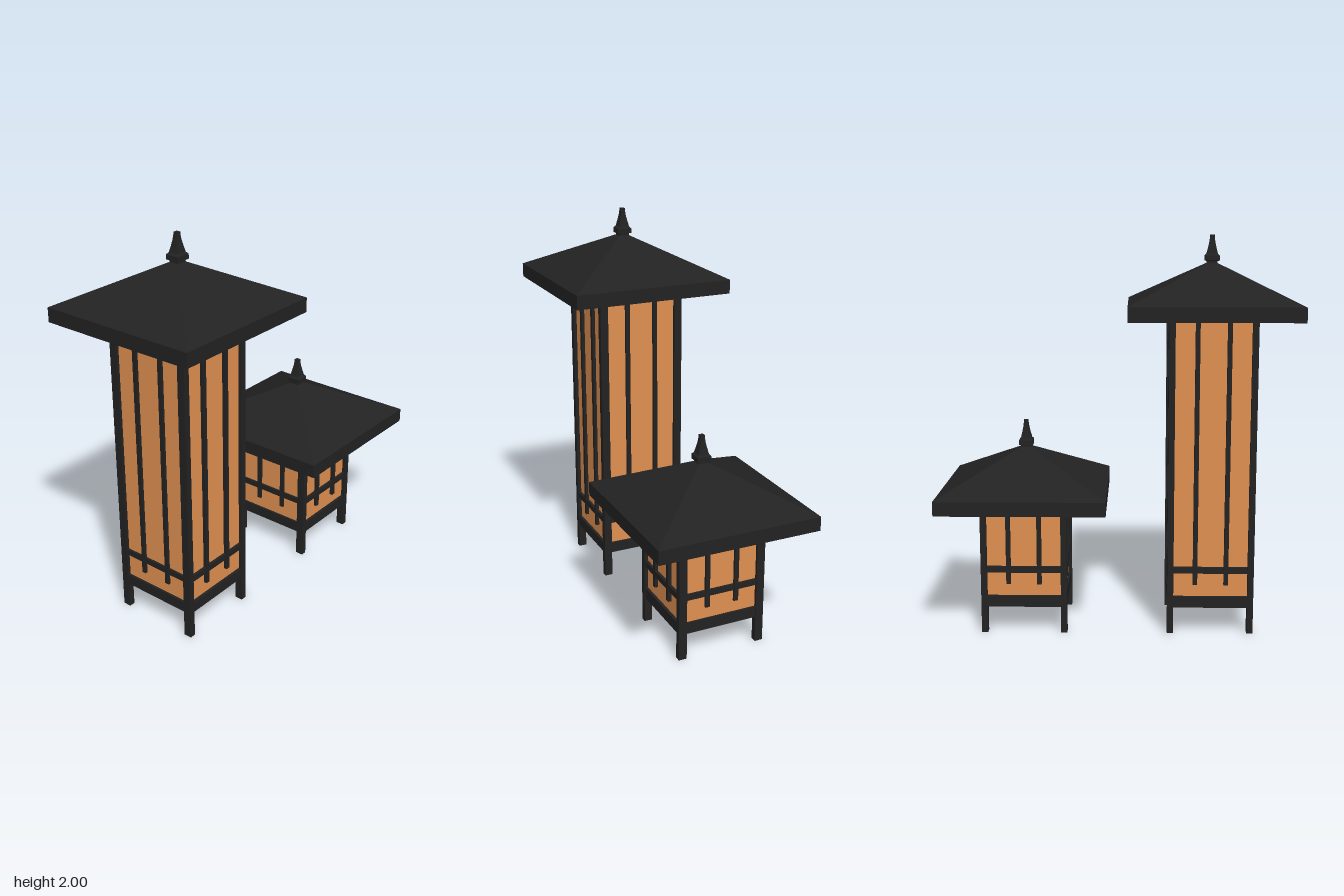
import * as THREE from 'three';

const metal = new THREE.MeshStandardMaterial({ color: 0x222222, flatShading: true });
const glass = new THREE.MeshStandardMaterial({ color: 0xe09050, side: THREE.DoubleSide });

const HX = 0.218, HZ = 0.231; // half width and half depth of the body
const PX = 0.031, PZ = 0.042; // post section

function box(parent, name, size, pos, material = metal) {
  const mesh = new THREE.Mesh(new THREE.BoxGeometry(...size), material);
  mesh.position.set(...pos);
  mesh.name = name;
  parent.add(mesh);
}

// Four-sided solid from a profile of [half width, height]
function pyramid(parent, name, profile, y) {
  const points = profile.map(([r, h]) => new THREE.Vector2(r * Math.SQRT2, h));
  const mesh = new THREE.Mesh(new THREE.LatheGeometry(points, 4, Math.PI / 4), metal);
  mesh.position.y = y;
  mesh.name = name;
  parent.add(mesh);
}

function createLantern(name, eaveY) {
  const lantern = new THREE.Group();
  lantern.name = name;

  const body = new THREE.Group();
  body.name = 'body';
  body.position.z = -0.012;
  lantern.add(body);

  // Corner posts running down into the feet
  for (const sx of [-1, 1]) for (const sz of [-1, 1]) {
    box(body, 'cornerPost', [PX, eaveY, PZ], [sx * (HX - PX / 2), eaveY / 2, sz * (HZ - PZ / 2)]);
  }

  const paneBottom = 0.15, paneH = eaveY - paneBottom, paneY = paneBottom + paneH / 2;
  const mullionBottom = 0.255, mullionH = eaveY - mullionBottom, mullionY = mullionBottom + mullionH / 2;
  const innerX = 2 * (HX - PX) + 0.02, innerZ = 2 * (HZ - PZ) + 0.02;
  for (const s of [-1, 1]) {
    // Glass panes
    box(body, 'glassPane', [innerX, paneH, 0.006], [0, paneY, s * (HZ - 0.022)], glass);
    box(body, 'glassPane', [0.006, paneH, innerZ], [s * (HX - 0.018), paneY, 0], glass);
    // Bottom rails and thin cross bars
    for (const [part, low, high, t] of [['bottomRail', 0.135, 0.193, 0.03], ['crossBar', 0.315, 0.347, 0.016]]) {
      const h = high - low, y = (low + high) / 2;
      box(body, part, [innerX, h, t], [0, y, s * (HZ - 0.004 - t / 2)]);
      box(body, part, [t, h, innerZ], [s * (HX - 0.004 - t / 2), y, 0]);
    }
    // Vertical mullions
    for (const o of [-0.078, 0.078]) {
      box(body, 'mullion', [0.023, mullionH, 0.018], [o, mullionY, s * (HZ - 0.011)]);
      box(body, 'mullion', [0.018, mullionH, 0.023], [s * (HX - 0.011), mullionY, o]);
    }
  }

  // Hipped roof with a straight fascia
  pyramid(lantern, 'roof', [[0, 0], [0.42, 0], [0.42, 0.072], [0, 0.28]], eaveY);

  // Tapered finial
  pyramid(lantern, 'finial', [
    [0, 0], [0.026, 0], [0.026, 0.02], [0.036, 0.022], [0.036, 0.046], [0.027, 0.056],
    [0.02, 0.085], [0.014, 0.115], [0.011, 0.14], [0.011, 0.15], [0, 0.15],
  ], eaveY + 0.257);
  return lantern;
}

export function createModel() {
  const model = new THREE.Group();
  model.name = 'lanternPair';
  const tall = createLantern('tallLantern', 1.593);
  tall.position.x = -0.474;
  const short = createLantern('shortLantern', 0.655);
  short.position.x = 0.47;
  model.add(tall, short);
  return model;
}
